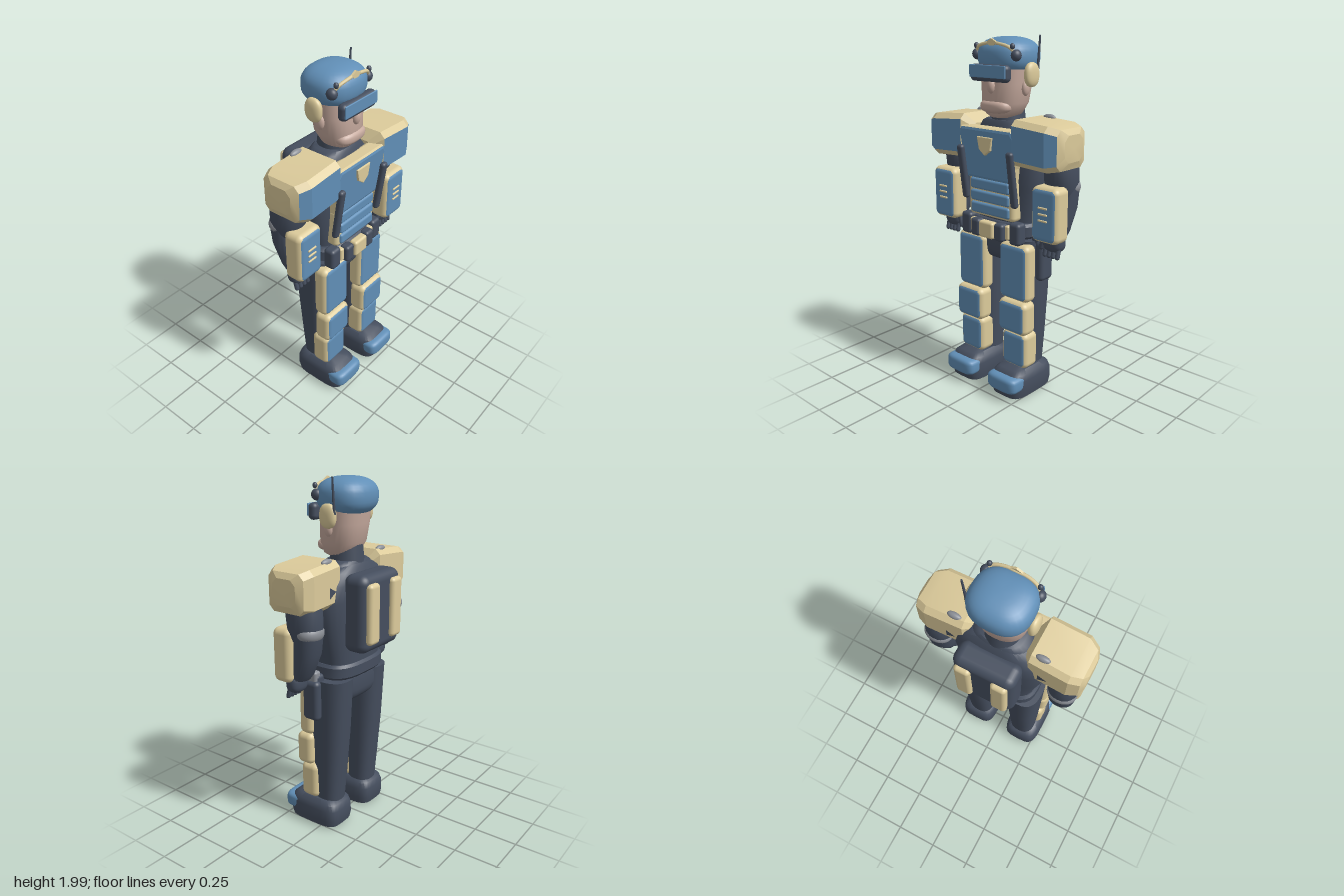
import * as THREE from 'three';
import { mergeVertices, toCreasedNormals } from 'three/addons/utils/BufferGeometryUtils.js';
import { RoundedBoxGeometry } from 'three/addons/geometries/RoundedBoxGeometry.js';

const material = (name, color) => {
  const m = new THREE.MeshStandardMaterial({ color });
  m.name = name;
  return m;
};
const V = (x, y, z) => new THREE.Vector3(x, y, z);
const spow = (v, e) => Math.sign(v) * Math.pow(Math.abs(v), e);

// Superellipse ring around the y axis
function ring(y, rx, rz, cx = 0, cz = 0, p = 2.6, n = 28) {
  return Array.from({ length: n }, (_, i) => {
    const a = (i / n) * Math.PI * 2;
    return V(cx + rx * spow(Math.cos(a), 2 / p), y, cz + rz * spow(Math.sin(a), 2 / p));
  });
}
// Rectangle with cut corners, around the x axis
function cutRing(x, y0, y1, z0, z1, c) {
  return [[z1, y0 + c], [z1, y1 - c], [z1 - c, y1], [z0 + c, y1], [z0, y1 - c], [z0, y0 + c], [z0 + c, y0], [z1 - c, y0]]
    .map(([z, y]) => V(x, y, z));
}
// Skin a list of rings and close both ends
function loft(rings, crease = 0.7) {
  const n = rings[0].length, pts = rings.flat(), idx = [];
  for (let k = 0; k < rings.length - 1; k++) {
    for (let i = 0; i < n; i++) {
      const a = k * n + i, b = k * n + (i + 1) % n;
      idx.push(a, a + n, b, b, a + n, b + n);
    }
  }
  const centre = (r) => r.reduce((s, p) => s.add(p), V(0, 0, 0)).divideScalar(n);
  const c0 = pts.length, last = (rings.length - 1) * n;
  const all = [...pts, centre(rings[0]), centre(rings[rings.length - 1])];
  for (let i = 0; i < n; i++) {
    const j = (i + 1) % n;
    idx.push(c0, i, j, c0 + 1, last + j, last + i);
  }
  const g = new THREE.BufferGeometry().setFromPoints(all);
  g.setIndex(idx);
  return toCreasedNormals(g, crease);
}
// Squarish ellipsoid; e = 1 is round, smaller is boxier
function blob(rx, ry, rz, e = 1) {
  let g = new THREE.SphereGeometry(1, 28, 18);
  g.deleteAttribute('uv');
  g.deleteAttribute('normal');
  g = mergeVertices(g, 1e-4);
  const p = g.attributes.position;
  for (let i = 0; i < p.count; i++) {
    p.setXYZ(i, rx * spow(p.getX(i), e), ry * spow(p.getY(i), e), rz * spow(p.getZ(i), e));
  }
  g.computeVertexNormals();
  return g;
}
const rbox = (w, h, d, r = 0.02) => new RoundedBoxGeometry(w, h, d, 4, r);

// Split triangles into group 0 (body) and group 1 (faces turned to the front)
function paintFront(geo, t = 0.83) {
  const g = geo.index ? geo.toNonIndexed() : geo;
  const p = g.attributes.position, nr = g.attributes.normal;
  const lists = [[], []], tri = new THREE.Triangle(), n = V(0, 0, 0);
  for (let i = 0; i < p.count; i += 3) {
    tri.setFromAttributeAndIndices(p, i, i + 1, i + 2);
    tri.getNormal(n);
    lists[n.z > t ? 1 : 0].push(i, i + 1, i + 2);
  }
  const out = new THREE.BufferGeometry();
  const order = lists.flat();
  for (const [name, src] of [['position', p], ['normal', nr]]) {
    const data = order.flatMap((i) => [src.getX(i), src.getY(i), src.getZ(i)]);
    out.setAttribute(name, new THREE.Float32BufferAttribute(data, 3));
  }
  out.addGroup(0, lists[0].length, 0);
  out.addGroup(lists[0].length, lists[1].length, 1);
  return out;
}
function slab(points, depth, bevel) {
  const s = new THREE.Shape(points.map(([x, y]) => new THREE.Vector2(x, y)));
  return new THREE.ExtrudeGeometry(s, { depth, bevelEnabled: bevel > 0, bevelSize: bevel, bevelThickness: bevel, bevelOffset: -bevel, bevelSegments: 2 });
}
const mirrored = (half) => [...half, ...half.map(([x, y]) => [-x, y]).reverse()];

export function createModel() {
  const model = new THREE.Group();
  const blue = material('armour blue', 0x618fb7), tan = material('armour tan', 0xdccb9b);
  const dark = material('dark suit', 0x454e5e), grey = material('metal grey', 0x8b8f96);
  const skin = material('skin', 0xc6aa9e);
  const armour = [tan, blue];
  const add = (name, geo, mat, x = 0, y = 0, z = 0) => {
    const m = new THREE.Mesh(geo, mat);
    m.name = name;
    m.position.set(x, y, z);
    model.add(m);
    return m;
  };
  const plate = (name, w, h, d, x, y, z, r = 0.035) => add(name, paintFront(rbox(w, h, d, r)), armour, x, y, z);

  // Head and face
  add('head', loft([[1.572, 0.06, 0.06, 0.04], [1.59, 0.095, 0.09, 0.03], [1.65, 0.122, 0.115, 0.02], [1.75, 0.136, 0.12, 0.01], [1.88, 0.14, 0.12, 0]]
    .map(([y, rx, rz, cz]) => ring(y, rx, rz, 0, cz, 2.4))), skin);
  add('jaw', blob(0.1, 0.038, 0.055, 0.8), skin, 0, 1.632, 0.093);
  add('nose', blob(0.024, 0.04, 0.022), skin, 0, 1.742, 0.132);
  add('neck', new THREE.CylinderGeometry(0.085, 0.1, 0.14, 24), dark, 0, 1.57, -0.005);
  add('collar', loft([ring(1.51, 0.17, 0.11), ring(1.545, 0.15, 0.1), ring(1.56, 0.12, 0.09)]), dark);

  // Cap, visor and head gear
  add('cap', blob(0.162, 0.102, 0.15, 0.8), blue, 0, 1.89, -0.008);
  add('visor', rbox(0.265, 0.09, 0.055, 0.025), dark, 0, 1.808, 0.137);
  add('visorFace', rbox(0.255, 0.066, 0.009, 0.004), blue, 0, 1.817, 0.163);
  const bandCurve = new THREE.CatmullRomCurve3([V(-0.135, 1.91, 0.095), V(-0.11, 1.94, 0.112), V(-0.05, 1.957, 0.122), V(0, 1.96, 0.12), V(0.05, 1.957, 0.122), V(0.11, 1.94, 0.112), V(0.135, 1.91, 0.095)]);
  add('browBand', new THREE.TubeGeometry(bandCurve, 32, 0.009, 8), tan);
  add('browCrest', slab(mirrored([[0, 0.018], [0.035, 0], [0.015, -0.018]]).slice(0, 5), 0.012, 0), tan, 0, 1.965, 0.118);
  const antenna = add('antenna', new THREE.CylinderGeometry(0.005, 0.008, 0.19, 8), dark, 0.174, 1.905, -0.047);
  antenna.rotation.z = -0.08;

  // Torso, belt and hips
  add('torso', loft([[0.94, 0.2, 0.12], [1.05, 0.215, 0.12], [1.2, 0.25, 0.125], [1.36, 0.268, 0.13], [1.45, 0.25, 0.125], [1.51, 0.2, 0.11], [1.545, 0.13, 0.09]]
    .map(([y, rx, rz]) => ring(y, rx, rz, 0, -0.01, 2.8))), dark);
  add('belt', loft([[0.925, 0.215, 0.132], [0.94, 0.228, 0.145], [0.995, 0.228, 0.145], [1.01, 0.215, 0.132]]
    .map(([y, rx, rz]) => ring(y, rx, rz, 0, 0, 3))), dark);
  add('pelvis', blob(0.2, 0.115, 0.122, 0.65), dark, 0, 0.875, -0.005);

  // Chest armour, leaning forward toward the top
  const chest = slab(mirrored([[0.165, 1.235], [0.175, 1.32], [0.205, 1.41], [0.205, 1.49], [0.18, 1.525]]), 0.06, 0.018);
  chest.translate(0, 0, 0.08);
  const cp = chest.attributes.position;
  for (let i = 0; i < cp.count; i++) cp.setZ(i, cp.getZ(i) + (cp.getY(i) - 1.235) * 0.1);
  chest.computeVertexNormals();
  add('chestPlate', paintFront(chest), armour);
  add('abdomenBase', rbox(0.335, 0.235, 0.09, 0.025), tan, 0, 1.14, 0.1);
  for (let i = 0; i < 3; i++) plate('abdomenPlate', 0.285, 0.062, 0.04, 0, 1.207 - i * 0.068, 0.138, 0.014).material = [blue, blue];
  add('chestBadge', slab([[0, -0.055], [0.04, -0.025], [0.055, 0.045], [-0.055, 0.045], [-0.04, -0.025]], 0.014, 0.005), tan, 0, 1.433, 0.172);
  add('buckle', rbox(0.105, 0.095, 0.05, 0.015), tan, 0, 0.963, 0.165);

  // Backpack
  add('backpack', rbox(0.35, 0.425, 0.15, 0.05), dark, 0, 1.3, -0.17);

  // Holster on the left hip
  add('holster', rbox(0.055, 0.23, 0.105, 0.025), dark, 0.283, 0.815, 0.022);
  add('holsterStrap', rbox(0.07, 0.06, 0.07, 0.02), dark, 0.25, 0.93, 0.02);
  add('sidearmGrip', rbox(0.05, 0.085, 0.06, 0.015), grey, 0.268, 0.94, 0.02);

  // Everything paired
  for (const s of [1, -1]) {
    // Head gear pairs
    add('earPad', blob(0.026, 0.064, 0.051, 0.85), tan, s * 0.164, 1.8, -0.003);
    add('ear', blob(0.018, 0.04, 0.025), skin, s * 0.138, 1.73, 0.015);
    add('lampHousing', blob(0.027, 0.03, 0.03), dark, s * 0.138, 1.9, 0.09);
    add('lampKnob', blob(0.013, 0.016, 0.013), dark, s * 0.128, 1.945, 0.108);

    // Shoulder pad with vent and notch
    const rows = [[0.145, 1.41, 1.53, -0.05, 0.12, 0.02], [0.185, 1.345, 1.585, -0.095, 0.182, 0.03], [0.4, 1.335, 1.57, -0.1, 0.182, 0.03], [0.458, 1.345, 1.555, -0.078, 0.15, 0.03], [0.478, 1.385, 1.525, -0.04, 0.11, 0.03]]
      .map(([x, ...rest]) => cutRing(s * x, ...rest));
    if (s < 0) rows.reverse();
    add('shoulderPad', paintFront(loft(rows, 0.35), 0.8), armour);
    add('shoulderVent', blob(0.04, 0.018, 0.018), grey, s * 0.245, 1.58, -0.055);
    const notch = add('shoulderNotch', new THREE.CircleGeometry(0.035, 3), dark, s * 0.26, 1.43, -0.102);
    notch.rotation.y = Math.PI;

    // Arm
    add('upperArm', loft([[1.19, 0.07, 0.075, -0.02], [1.25, 0.085, 0.095, -0.012], [1.34, 0.085, 0.1, -0.005], [1.45, 0.07, 0.08, 0]]
      .map(([y, rx, rz, cz]) => ring(y, rx, rz, s * 0.37, cz, 2.2))), dark);
    add('elbow', blob(0.084, 0.058, 0.068), grey, s * 0.372, 1.235, -0.045);
    add('forearm', loft([[0.97, 0.05, 0.045, 0.02], [1.0, 0.058, 0.052, 0.005], [1.12, 0.075, 0.07, -0.025], [1.23, 0.08, 0.072, -0.035]]
      .map(([y, rx, rz, cz]) => ring(y, rx, rz, s * 0.372, cz, 2.2))), dark);
    plate('forearmPlate', 0.175, 0.3, 0.12, s * 0.372, 1.105, 0.088);
    for (let i = 0; i < 3; i++) add('forearmSlot', rbox(0.06, 0.011, 0.012, 0.004), tan, s * 0.372, 1.147 - i * 0.034, 0.149);

    // Hand
    add('palm', blob(0.062, 0.055, 0.045, 0.75), dark, s * 0.375, 0.945, 0.05);
    for (let i = 0; i < 4; i++) {
      const f = add('finger', new THREE.CapsuleGeometry(0.013, 0.06, 4, 10), dark, s * (0.333 + i * 0.028), 0.9, 0.068);
      f.rotation.x = -0.25;
    }
    const thumb = add('thumb', new THREE.CapsuleGeometry(0.014, 0.05, 4, 10), dark, s * 0.31, 0.93, 0.07);
    thumb.rotation.z = -s * 0.25;

    // Harness strap, belt pouches and pack strip
    const strap = add('harnessStrap', rbox(0.043, 0.31, 0.035, 0.016), dark, s * 0.18, 1.265, 0.168);
    strap.rotation.x = 0.14;
    add('largePouch', rbox(0.075, 0.125, 0.07, 0.02), dark, s * 0.18, 0.965, 0.125);
    add('smallPouch', rbox(0.065, 0.1, 0.06, 0.018), dark, s * 0.088, 0.962, 0.155);
    add('pouchTrim', rbox(0.03, 0.08, 0.04, 0.01), tan, s * 0.13, 0.965, 0.14);
    add('packStrip', rbox(0.092, 0.33, 0.05, 0.022), tan, s * 0.103, 1.305, -0.245);

    // Leg and its armour
    add('leg', loft([[0.12, 0.075, 0.072, 0], [0.35, 0.085, 0.088, -0.005], [0.6, 0.092, 0.105, -0.01], [0.92, 0.1, 0.122, -0.01]]
      .map(([y, rx, rz, cz]) => ring(y, rx, rz, s * 0.155, cz, 2.6))), dark);
    plate('thighPlate', 0.208, 0.33, 0.095, s * 0.159, 0.74, 0.098);
    plate('kneePlate', 0.2, 0.195, 0.11, s * 0.165, 0.48, 0.11);
    plate('shinPlate', 0.178, 0.215, 0.12, s * 0.167, 0.28, 0.085);

    // Boot with toe cap
    add('boot', loft([[0.008, 0.09, 0.14], [0.022, 0.107, 0.162], [0.06, 0.113, 0.17], [0.12, 0.112, 0.168], [0.155, 0.103, 0.155], [0.175, 0.08, 0.125]]
      .map(([y, rx, rz]) => ring(y, rx, rz, s * 0.163, 0.065, 4.2))), dark);
    add('toeCap', blob(0.107, 0.05, 0.068, 0.5), blue, s * 0.165, 0.106, 0.197);
  }
  return model;
}
